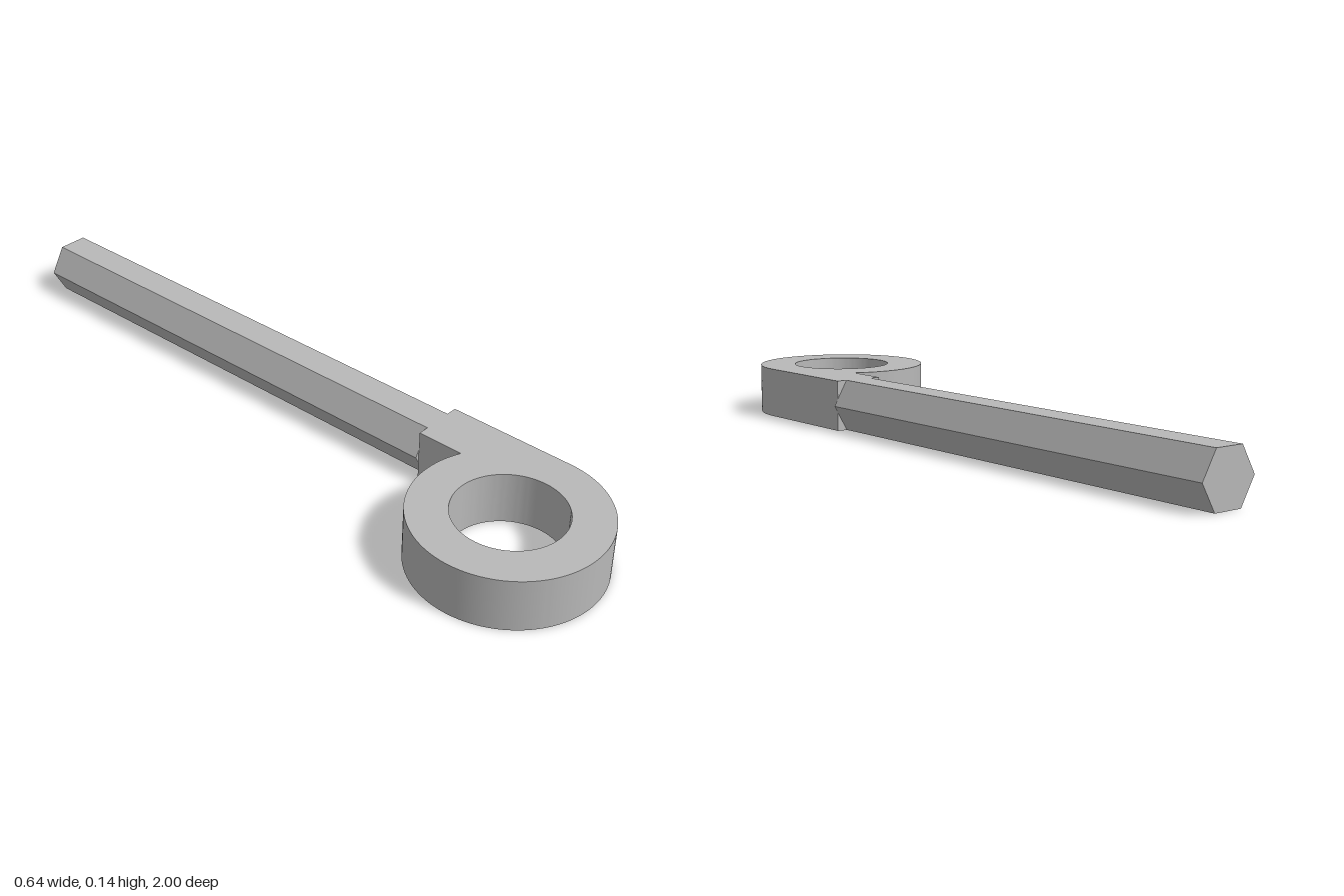
import * as THREE from 'three';
import { toCreasedNormals } from 'three/addons/utils/BufferGeometryUtils.js';

const HEIGHT = 0.142;     // thickness of the whole tool
const RING_R = 0.246;     // outer radius of the eye
const HOLE_R = 0.142;
const BAR_X = 0.175;      // bar axis, offset from the eye centre
const NECK_Z = -0.351;    // where the square neck meets the hexagonal bar
const BAR_LENGTH = 1.4;

export function createModel() {
  const metal = new THREE.MeshStandardMaterial({ color: 0xb8b8b8 });
  metal.name = 'grey metal';

  const model = new THREE.Group();
  model.name = 'eyeBar';

  // Eye with a tangent square neck, cut from one flat plate
  const neckInner = RING_R - HEIGHT;
  const outline = new THREE.Shape();
  outline.moveTo(RING_R, NECK_Z);
  outline.lineTo(RING_R, 0);
  outline.absarc(0, 0, RING_R, 0, 2 * Math.PI - Math.acos(neckInner / RING_R), false);
  outline.lineTo(neckInner, NECK_Z);
  outline.closePath();
  const hole = new THREE.Path();
  hole.absarc(0, 0, HOLE_R, 0, Math.PI * 2, true);
  outline.holes.push(hole);

  const plate = new THREE.ExtrudeGeometry(outline, { depth: HEIGHT, bevelEnabled: false, curveSegments: 64 });
  plate.rotateX(Math.PI / 2).translate(0, HEIGHT, 0);
  const eye = new THREE.Mesh(toCreasedNormals(plate, Math.PI / 6), metal);
  eye.name = 'eyeAndNeck';

  // Hexagonal bar lying on a flat, corners pointing sideways
  const hex = new THREE.CylinderGeometry(HEIGHT / Math.sqrt(3), HEIGHT / Math.sqrt(3), BAR_LENGTH, 6);
  hex.rotateY(Math.PI / 6).rotateX(Math.PI / 2);
  const bar = new THREE.Mesh(toCreasedNormals(hex, Math.PI / 6), metal);
  bar.name = 'hexBar';
  bar.position.set(BAR_X, HEIGHT / 2, NECK_Z - BAR_LENGTH / 2);

  // Place the eye centre and swing the bar to its angle
  const tool = new THREE.Group();
  tool.name = 'tool';
  tool.add(eye, bar);
  tool.position.set(0.073, 0, 0.753);
  tool.rotation.y = THREE.MathUtils.degToRad(16);
  model.add(tool);
  return model;
}
